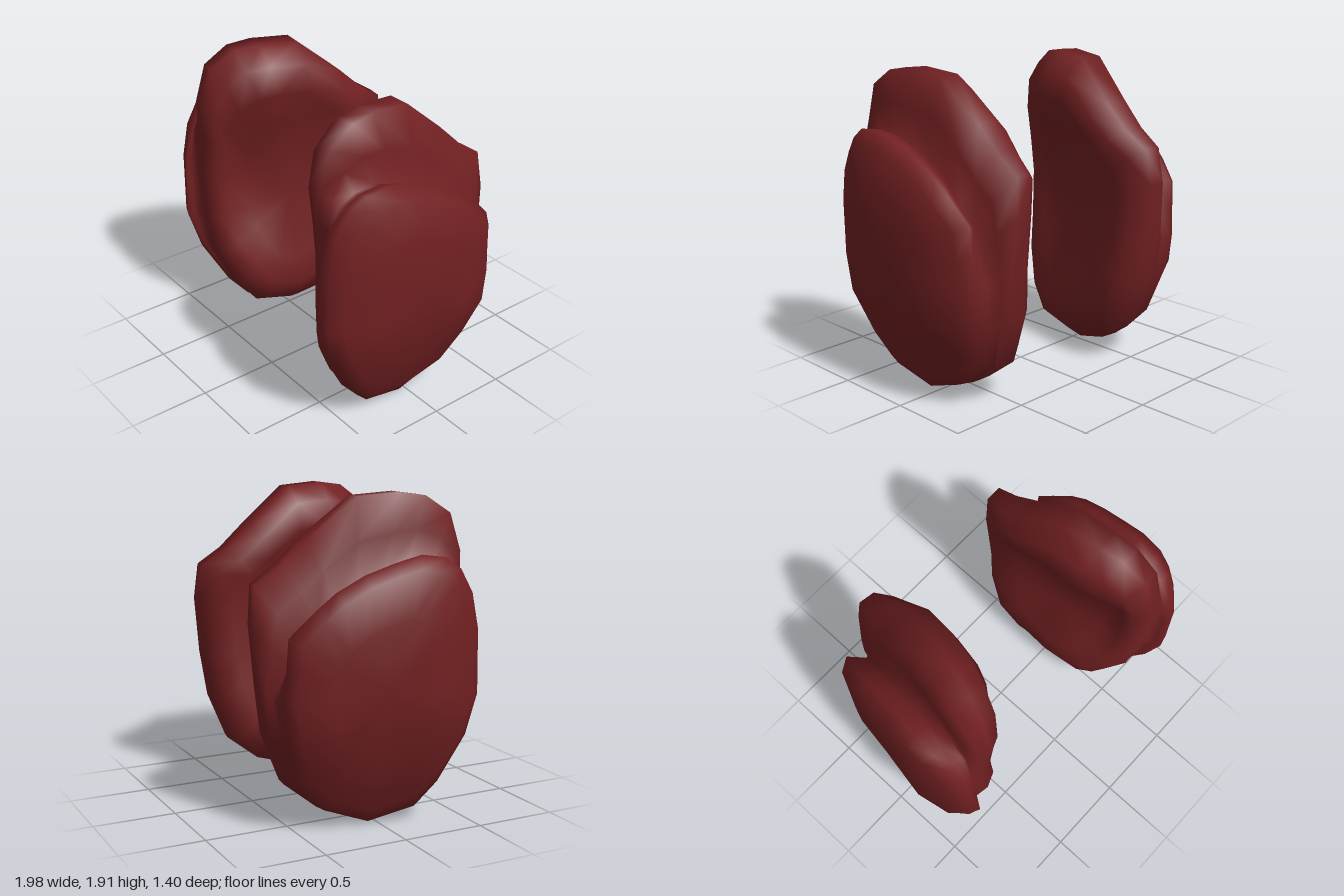
import * as THREE from 'three';
import { mergeVertices } from 'three/addons/utils/BufferGeometryUtils.js';

// Rim stations, running bottom > front > top > back:
// [inner lobe z, y, outer lobe z, y, groove depth as a scale of the outer rim]
const RIM = [
  [0.05, 0.02, 0.05, 0.03, 1.02], [0.32, 0.09, 0.33, 0.10, 1.02],
  [0.45, 0.26, 0.46, 0.25, 1.02], [0.57, 0.51, 0.61, 0.53, 1.03],
  [0.61, 0.78, 0.68, 0.77, 1.03], [0.61, 1.10, 0.67, 1.15, 1.02],
  [0.61, 1.35, 0.63, 1.36, 0.99], [0.62, 1.58, 0.55, 1.50, 0.96],
  [0.55, 1.80, 0.45, 1.57, 0.94], [0.40, 1.90, 0.30, 1.59, 0.92],
  [0.25, 1.92, 0.15, 1.55, 0.90], [0.00, 1.90, -0.03, 1.49, 0.87],
  [-0.28, 1.67, -0.20, 1.40, 0.85], [-0.44, 1.52, -0.32, 1.30, 0.83],
  [-0.59, 1.42, -0.46, 1.16, 0.83], [-0.61, 1.20, -0.47, 1.00, 0.90],
  [-0.58, 0.85, -0.49, 0.80, 1.04], [-0.54, 0.56, -0.46, 0.58, 1.08],
  [-0.42, 0.26, -0.39, 0.30, 1.05], [-0.24, 0.12, -0.22, 0.13, 1.02],
];
// Sideways limits of the body and depth of the inner hollow, by height: [y, x]
const INNER = [[0, 0.54], [0.17, 0.40], [0.37, 0.37], [0.85, 0.415], [1.1, 0.415], [1.3, 0.39], [1.64, 0.345], [1.92, 0.4]];
const OUTER = [[0, 0.74], [0.1, 0.78], [0.23, 0.84], [0.4, 0.89], [0.6, 0.98], [1.2, 0.99], [1.4, 0.97], [1.6, 0.95]];
const HOLLOW = [[0.35, 0], [0.6, 0.05], [0.9, 0.13], [1.3, 0.12], [1.65, 0]];
// Loops from inner face to outer face: [rim used, scale, fraction across, hollow]
const LOOPS = [
  ['inner', 0, 0, 0.9], ['inner', 0.5, 0, 1], ['inner', 0.74, 0, 0.6], ['inner', 0.9, 0.02, 0],
  ['inner', 1, 0.2, 0], ['inner', 1, 0.45, 0], ['wall', 1, 0.57, 0], ['groove', 1, 0.57, 0],
  ['slope', 1, 0.7, 0], ['outer', 1, 0.85, 0], ['outer', 0.9, 0.97, 0],
  ['outer', 0.55, 1, 0], ['outer', 0, 1, 0],
];
const CENTRE = { x: 0.655, y: 0.85, z: 0.08 };

function sample(table, y) {
  if (y <= table[0][0]) return table[0][1];
  for (let i = 1; i < table.length; i++) {
    const [y0, x0] = table[i - 1], [y1, x1] = table[i];
    if (y <= y1) return x0 + (x1 - x0) * (y - y0) / (y1 - y0);
  }
  return table[table.length - 1][1];
}

// Squared distance past a limit, for rounding off the ends
const past = (d) => Math.max(0, d) ** 2;

// Point (z, y) of one rim station on the requested rim
function rimPoint([pz, py, qz, qy, depth], rim) {
  if (rim === 'inner') return [pz, py];
  if (rim === 'outer') return [qz, qy];
  const gz = CENTRE.z + (qz - CENTRE.z) * depth;
  const gy = CENTRE.y + (qy - CENTRE.y) * depth;
  if (rim === 'groove') return [gz, gy];
  return rim === 'wall' ? [(pz + gz) / 2, (py + gy) / 2] : [(qz + gz) / 2, (qy + gy) / 2];
}

// One two-lobed body, centred on its own axis; side is +1 or -1
function lobedGeometry(side) {
  const pos = [], index = [], n = RIM.length;
  for (const [rim, scale, across, hollow] of LOOPS) {
    for (const station of RIM) {
      const [rz, ry] = rimPoint(station, rim);
      const z = CENTRE.z + (rz - CENTRE.z) * scale;
      const y = CENTRE.y + (ry - CENTRE.y) * scale;
      const xi = sample(INNER, y) + 0.5 * past(z - 0.05) + 0.5 * past(-0.23 - z);
      const xo = sample(OUTER, y) - 0.9 * past(z - 0.3) - 0.5 * past(-0.1 - z);
      // The hollow fades out towards the thicker back rim
      const dish = hollow * sample(HOLLOW, y) * THREE.MathUtils.clamp((z + 0.4) / 0.5, 0, 1);
      pos.push(side * (xi + (xo - xi) * across + dish - CENTRE.x), y, z - 0.04);
    }
  }
  for (let j = 0; j < LOOPS.length - 1; j++) {
    for (let i = 0; i < n; i++) {
      const k = (i + 1) % n;
      const a = j * n + i, b = j * n + k, c = b + n, d = a + n;
      if (side > 0) index.push(a, d, c, a, c, b);
      else index.push(a, c, d, a, b, c);
    }
  }
  const geo = new THREE.BufferGeometry();
  geo.setAttribute('position', new THREE.Float32BufferAttribute(pos, 3));
  geo.setIndex(index);
  const merged = mergeVertices(geo, 1e-4);
  merged.computeVertexNormals();
  return merged;
}

export function createModel() {
  const group = new THREE.Group();
  const darkRed = new THREE.MeshStandardMaterial({ color: 0x722022 });
  darkRed.name = 'darkRed';

  const left = new THREE.Mesh(lobedGeometry(1), darkRed);
  left.name = 'leftLobedBody';
  left.position.set(CENTRE.x, 0, 0.04);

  // The right body is mirrored and turned a little further outward
  const right = new THREE.Mesh(lobedGeometry(-1), darkRed);
  right.name = 'rightLobedBody';
  right.position.set(-0.615, 0, -0.065);
  right.rotation.y = -0.16;

  group.add(left, right);
  return group;
}
